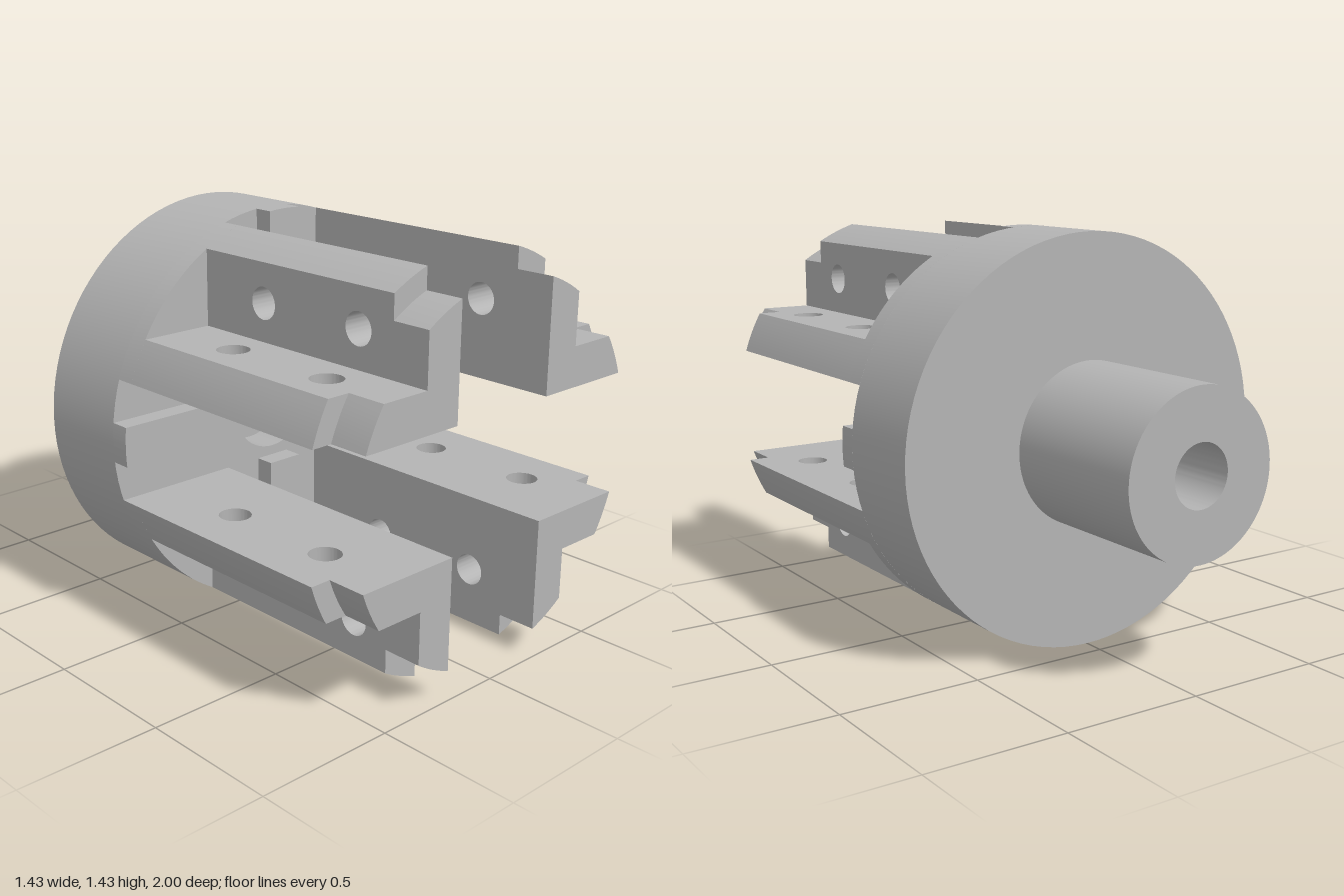
import * as THREE from 'three';
import { toCreasedNormals } from 'three/addons/utils/BufferGeometryUtils.js';

const R = 0.715;       // flange radius
const TIP_R = 0.644;   // reduced radius at the leg tips
const IN = 0.215;      // half width of the cross channel
const OUT = 0.355;     // outer side of a leg plate
const FLOOR = -0.07;   // channel floor
const KEY = 0.07;      // half width of a key

const metal = new THREE.MeshStandardMaterial({ color: 0xb4b4b4 });
metal.name = 'grey metal';

function part(name, geometry) {
  const mesh = new THREE.Mesh(toCreasedNormals(geometry, 0.5), metal);
  mesh.name = name;
  return mesh;
}

// Flange, shaft, through bore and counterbore in one turned profile
function bodyGeometry() {
  const profile = [
    [0.107, -1], [0.285, -1], [0.285, -0.425], [R, -0.425], [R, FLOOR],
    [0.18, FLOOR], [0.18, -0.2], [0.107, -0.2], [0.107, -1],
  ].map(([r, z]) => new THREE.Vector2(r, z));
  return new THREE.LatheGeometry(profile, 96).rotateX(Math.PI / 2);
}

// Raised block standing on the channel floor, closed by the flange arc
function raised(shape) {
  return new THREE.ExtrudeGeometry(shape, { depth: -FLOOR, bevelEnabled: false, curveSegments: 24 })
    .translate(0, 0, FLOOR);
}

function quadrantGeometry() {
  const a = Math.asin(IN / R);
  const s = new THREE.Shape();
  s.moveTo(IN, IN);
  s.lineTo(R * Math.cos(a), IN);
  s.absarc(0, 0, R, a, Math.PI / 2 - a, false);
  s.lineTo(IN, IN);
  return raised(s);
}

function keyGeometry() {
  const a = Math.asin(KEY / R);
  const s = new THREE.Shape();
  s.moveTo(IN, -KEY);
  s.lineTo(R * Math.cos(a), -KEY);
  s.absarc(0, 0, R, -a, a, false);
  s.lineTo(IN, KEY);
  return raised(s);
}

// Drilled leg plate; its outer edge is then bent onto the two radii
function plateGeometry(side) {
  const start = side > 0 ? IN : OUT;
  const s = new THREE.Shape([
    [start, 0], [0.68, 0], [0.68, 0.86], [0.6, 0.86], [0.6, 1], [start, 1],
  ].map(([u, z]) => new THREE.Vector2(u, z)));
  for (const z of [0.285, 0.715]) {
    s.holes.push(new THREE.Path().absarc(0.485, z, 0.055, 0, Math.PI * 2, true));
  }
  const g = new THREE.ExtrudeGeometry(s, { depth: OUT - IN, steps: 6, bevelEnabled: false, curveSegments: 28 });
  g.translate(0, 0, side > 0 ? -OUT : IN);
  const p = g.attributes.position;
  for (let i = 0; i < p.count; i++) {
    const u = p.getX(i), v = p.getZ(i);
    if (u > 0.58) p.setX(i, Math.sqrt((u > 0.64 ? R : TIP_R) ** 2 - v * v));
  }
  return g.rotateX(Math.PI / 2);
}

export function createModel() {
  const model = new THREE.Group();
  model.name = 'slottedCoupling';
  model.add(part('flangeAndShaft', bodyGeometry()));

  // Four identical quarters around the axis
  for (let i = 0; i < 4; i++) {
    const quarter = new THREE.Group();
    quarter.name = 'quarter' + (i + 1);
    quarter.add(
      part('flangeQuadrant', quadrantGeometry()),
      part('channelKey', keyGeometry()),
      part('legCornerPlate', plateGeometry(1)),
      part('legSidePlate', plateGeometry(-1)),
    );
    quarter.rotation.z = i * Math.PI / 2;
    model.add(quarter);
  }
  model.position.y = R;
  const root = new THREE.Group();
  root.name = 'coupling';
  root.add(model);
  return root;
}
